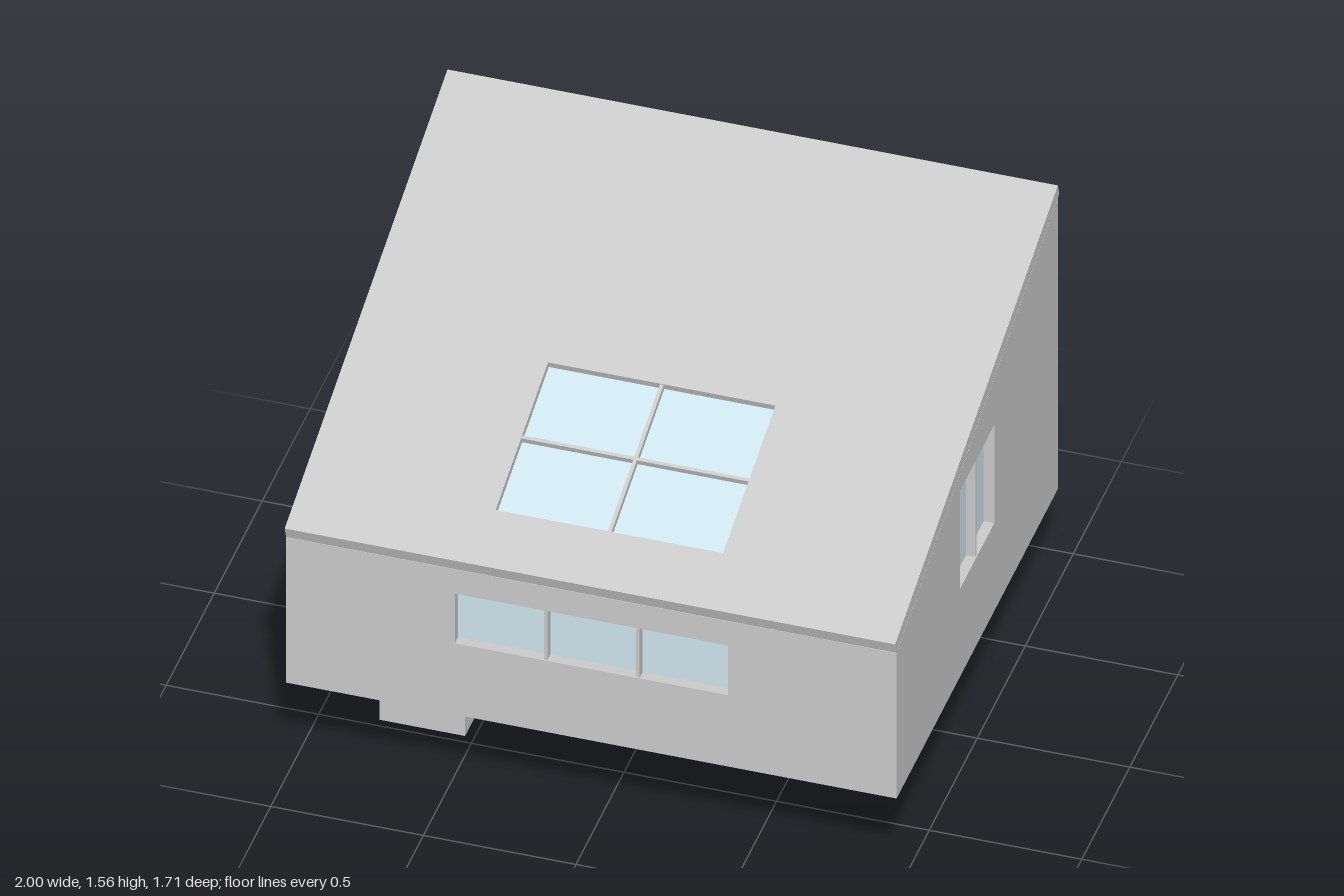
import * as THREE from 'three';

const grey = new THREE.MeshStandardMaterial({ color: 0xcccccc, flatShading: true });
const glass = new THREE.MeshStandardMaterial({ color: 0xcfe6ee, flatShading: true });

// Overall sizes
const HALF_X = 1, HALF_Z = 0.84, BASE = 0.37, EAVE = 0.94, RIDGE = 1.51, WALL = 0.05;
const ROOF_Z = 0.855, ROOF_FRONT = 0.985, ROOF_BACK = 1.56, ROOF_THICK = 0.046;
const BAR = 0.012;

function box(name, w, h, d, x, y, z, material = grey) {
  const mesh = new THREE.Mesh(new THREE.BoxGeometry(w, h, d), material);
  mesh.name = name;
  mesh.position.set(x, y, z);
  return mesh;
}

// Recessed panes split by glazing bars; outer wall surface is local z = 0
function makeWindow({ x, y, w, h, cols, rows, recess }, thickness) {
  const group = new THREE.Group();
  group.name = 'window';
  group.position.set(x, y, 0);
  const paneW = (w - BAR * (cols - 1)) / cols, paneH = (h - BAR * (rows - 1)) / rows;
  const paneD = thickness - recess;
  for (let c = 0; c < cols; c++) {
    for (let r = 0; r < rows; r++) {
      group.add(box('glassPane', paneW, paneH, paneD,
        -w / 2 + paneW / 2 + c * (paneW + BAR),
        -h / 2 + paneH / 2 + r * (paneH + BAR), -recess - paneD / 2, glass));
    }
  }
  const barD = thickness - 0.004, barZ = -0.004 - barD / 2;
  for (let c = 1; c < cols; c++) {
    group.add(box('verticalBar', BAR, h, barD, -w / 2 + c * (paneW + BAR) - BAR / 2, 0, barZ));
  }
  for (let r = 1; r < rows; r++) {
    group.add(box('horizontalBar', w, BAR, barD, 0, -h / 2 + r * (paneH + BAR) - BAR / 2, barZ));
  }
  return group;
}

// Flat slab facing local +z, with an optional glazed opening
function makePanel(name, outline, thickness, win) {
  const group = new THREE.Group();
  group.name = name;
  const shape = new THREE.Shape(outline.map(([x, y]) => new THREE.Vector2(x, y)));
  if (win) {
    const { x, y, w, h } = win;
    const corners = [[-1, -1], [-1, 1], [1, 1], [1, -1]];
    shape.holes.push(new THREE.Path(corners.map(([a, b]) =>
      new THREE.Vector2(x + a * w / 2, y + b * h / 2))));
    group.add(makeWindow(win, thickness));
  }
  const geometry = new THREE.ExtrudeGeometry(shape, { depth: thickness, bevelEnabled: false });
  geometry.translate(0, 0, -thickness);
  const slab = new THREE.Mesh(geometry, grey);
  slab.name = name + 'Slab';
  group.add(slab);
  return group;
}

const rect = (hw, y0, y1) => [[-hw, y0], [hw, y0], [hw, y1], [-hw, y1]];

export function createModel() {
  const house = new THREE.Group();
  house.name = 'house';
  const innerX = HALF_X - WALL;

  // Front wall with a three-pane strip window
  const front = makePanel('frontWall', rect(innerX, BASE, EAVE), WALL,
    { x: 0, y: 0.747, w: 0.895, h: 0.195, cols: 3, rows: 1, recess: 0.035 });
  front.position.z = HALF_Z;
  house.add(front);

  // Plain back wall
  const back = makePanel('backWall', rect(innerX, BASE, RIDGE), WALL);
  back.rotation.y = Math.PI;
  back.position.z = -HALF_Z;
  house.add(back);

  // Sloped side walls, mirrored, each with a two-pane window
  for (const s of [1, -1]) {
    const outline = [[-HALF_Z, BASE], [HALF_Z, BASE], [HALF_Z, RIDGE], [-HALF_Z, EAVE]]
      .map(([x, y]) => [x * s, y]);
    const side = makePanel(s > 0 ? 'leftWall' : 'rightWall', outline, WALL,
      { x: 0, y: 0.907, w: 0.355, h: 0.385, cols: 2, rows: 1, recess: 0.035 });
    side.rotation.y = s * Math.PI / 2;
    side.position.x = s * HALF_X;
    house.add(side);
  }

  // Floor
  house.add(box('floor', innerX * 2, WALL, (HALF_Z - WALL) * 2, 0, BASE + WALL / 2, 0));

  // Sloped roof with a four-pane skylight
  const run = ROOF_Z + HALF_Z, rise = ROOF_BACK - ROOF_FRONT;
  const roof = makePanel('roof', rect(HALF_X, 0, Math.hypot(run, rise)), ROOF_THICK,
    { x: 0, y: 0.502, w: 0.745, h: 0.575, cols: 2, rows: 2, recess: 0.025 });
  roof.rotation.x = Math.atan2(rise, run) - Math.PI / 2;
  roof.position.set(0, ROOF_FRONT, ROOF_Z);
  house.add(roof);

  // Single support block under the floor
  house.add(box('supportBlock', 0.28, BASE, 0.32, -0.67, BASE / 2, 0.31));

  return house;
}
